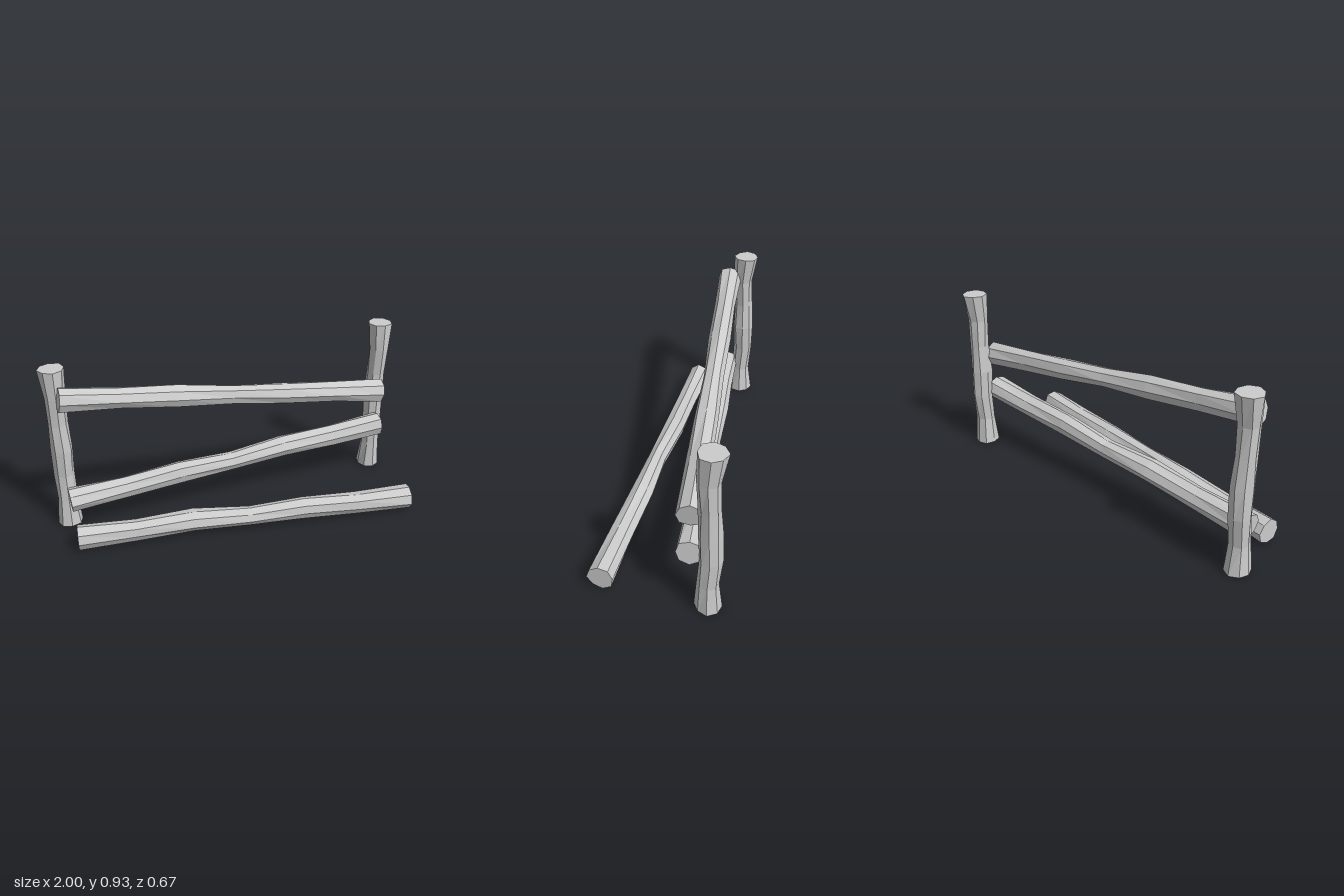
import * as THREE from 'three';

const material = new THREE.MeshStandardMaterial({ color: 0xcccccc, flatShading: true });
const SIDES = 8;

// Rough-hewn log between two points: seven rings, each with its own radius
// and a small sideways shift [x, z] in the log's own frame.
function log(name, from, to, radii, shifts, seed) {
  const a = new THREE.Vector3(...from), b = new THREE.Vector3(...to);
  const axis = b.clone().sub(a);
  const segments = radii.length - 1;
  const geometry = new THREE.CylinderGeometry(1, 1, 1, SIDES, segments);
  const p = geometry.attributes.position;
  for (let i = 0; i < p.count; i++) {
    const ring = Math.round((p.getY(i) + 0.5) * segments);
    const side = Math.round(Math.atan2(p.getZ(i), p.getX(i)) / (Math.PI * 2) * SIDES + SIDES) % SIDES;
    // uneven facets, the same on both sides of the seam
    const r = radii[ring] * (1 + 0.05 * Math.sin(side * 2.4 + ring * 1.7 + seed));
    const [sx, sz] = shifts[ring];
    p.setX(i, p.getX(i) * r + sx);
    p.setZ(i, p.getZ(i) * r + sz);
  }
  geometry.scale(1, axis.length(), 1);
  geometry.computeVertexNormals();
  const mesh = new THREE.Mesh(geometry, material);
  mesh.name = name;
  mesh.position.copy(a).add(b).multiplyScalar(0.5);
  mesh.quaternion.setFromUnitVectors(new THREE.Vector3(0, 1, 0), axis.normalize());
  return mesh;
}

export function createModel() {
  const group = new THREE.Group();
  group.name = 'brokenFence';

  // Upright posts
  const postRadii = [0.068, 0.053, 0.055, 0.058, 0.052, 0.054, 0.068];
  const postShifts = [[0, 0], [0, 0.004], [0, -0.006], [0.004, 0], [0, 0.004], [0, 0.012], [0, 0]];
  group.add(
    log('rightPost', [-0.928, 0, -0.26], [-0.928, 0.925, -0.26], postRadii, postShifts, 0),
    log('leftPost', [0.926, 0, -0.26], [0.926, 0.925, -0.26], postRadii,
      postShifts.map(([x, z]) => [-x, z]), 2)
  );

  // Rails: local x points down, local z to the front
  const railRadii = [0.067, 0.058, 0.061, 0.052, 0.06, 0.061, 0.068];
  group.add(
    log('topRail', [-0.922, 0.79, -0.167], [0.905, 0.54, -0.167], railRadii,
      [[0, 0], [-0.002, 0], [-0.005, 0], [-0.003, 0], [0.001, 0], [-0.001, 0], [0, 0]], 1),
    log('middleRail', [-0.925, 0.19, -0.167], [0.915, 0.32, -0.167], railRadii,
      [[0, 0], [0.001, 0], [-0.007, 0], [0.007, 0], [-0.008, 0], [0, 0], [0, 0]], 3),
    log('fallenRail', [-0.925, 0.069, 0.007], [0.9, 0.07, 0.265], railRadii,
      [[0, 0], [0, 0], [-0.011, -0.009], [-0.007, 0.005], [-0.01, -0.006], [0, 0], [0, 0]], 5)
  );
  return group;
}
